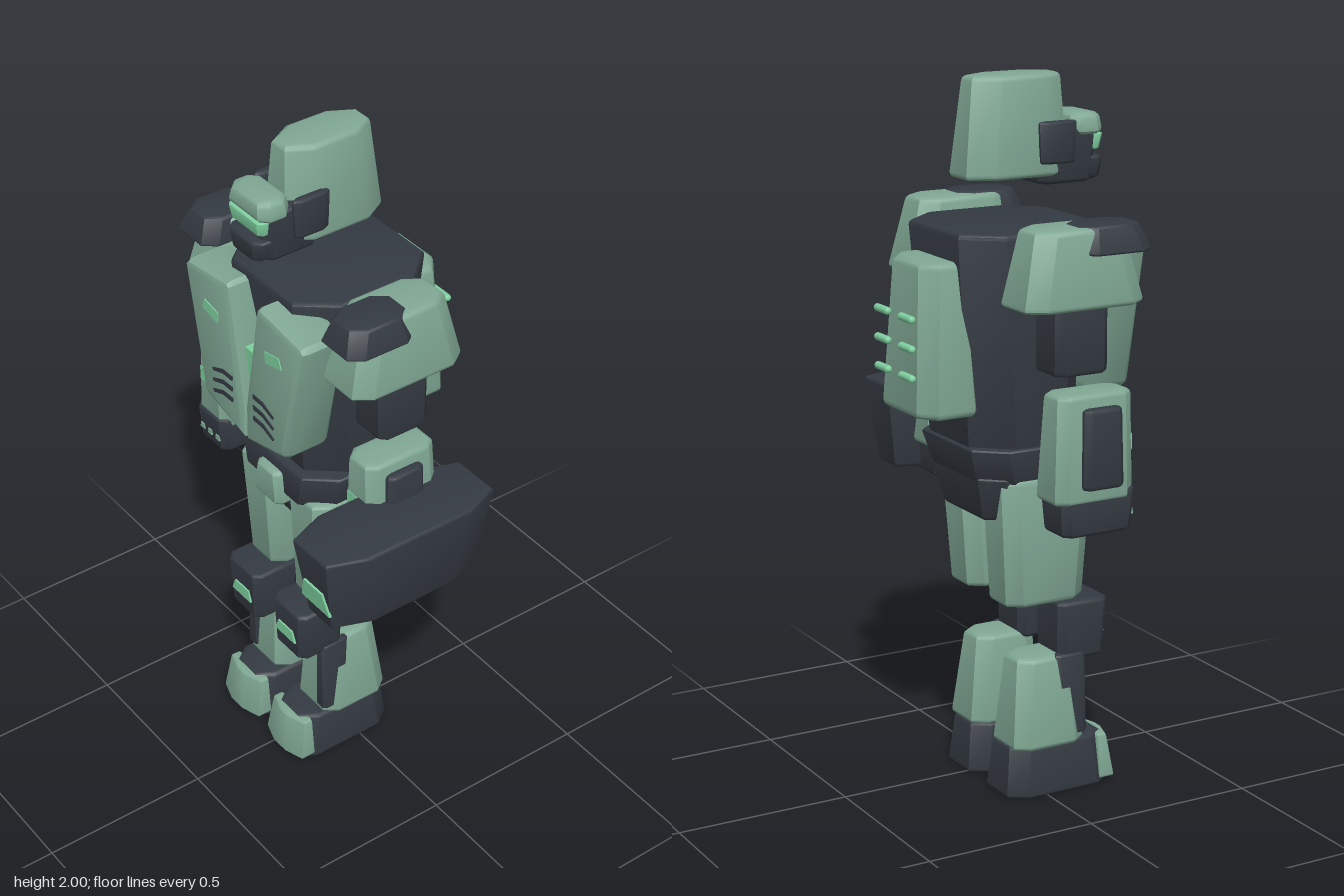
import * as THREE from 'three';
import { toCreasedNormals } from 'three/addons/utils/BufferGeometryUtils.js';

const material = (name, color) => {
  const m = new THREE.MeshStandardMaterial({ color });
  m.name = name;
  return m;
};

// Eight-sided ring of a rectangle [x0, x1, z0, z1] with cut corners
function ring([x0, x1, z0, z1], y, cx, cz, inset) {
  x0 += inset; x1 -= inset; z0 += inset; z1 -= inset;
  cx = Math.max(cx - inset * 0.4, 0.002);
  cz = Math.max(cz - inset * 0.4, 0.002);
  return [
    [x0 + cx, z1], [x1 - cx, z1], [x1, z1 - cz], [x1, z0 + cz],
    [x1 - cx, z0], [x0 + cx, z0], [x0, z0 + cz], [x0, z1 - cz],
  ].map(([x, z]) => [x, y, z]);
}

// Tapered block with cut corners and rounded top and bottom edges
function blockGeometry(y0, low, y1, high, cx, cz, bevel) {
  const rings = [];
  const steps = 3;
  const at = (y) => low.map((v, i) => v + (high[i] - v) * (y - y0) / (y1 - y0));
  for (const top of [false, true]) {
    for (let i = 0; i <= steps; i++) {
      const a = (top ? i : steps - i) / steps * Math.PI / 2;
      const rise = bevel * (1 - Math.sin(a));
      const y = top ? y1 - rise : y0 + rise;
      rings.push(ring(at(y), y, cx, cz, bevel * (1 - Math.cos(a))));
    }
  }
  const pos = [];
  const tri = (...p) => p.forEach((v) => pos.push(...v));
  const first = rings[0], last = rings[rings.length - 1];
  for (let i = 0; i < 8; i++) {
    const j = (i + 1) % 8;
    for (let k = 0; k < rings.length - 1; k++) {
      const a = rings[k], b = rings[k + 1];
      tri(a[i], a[j], b[j]);
      tri(a[i], b[j], b[i]);
    }
    if (i > 0 && i < 7) {
      tri(last[0], last[i], last[j]);
      tri(first[0], first[j], first[i]);
    }
  }
  const g = new THREE.BufferGeometry();
  g.setAttribute('position', new THREE.Float32BufferAttribute(pos, 3));
  return toCreasedNormals(g, 0.6);
}

export function createModel() {
  const green = material('sage armour', 0x80a894);
  const dark = material('charcoal', 0x343a42);
  const glow = material('bright green', 0x7fd0a0);

  const root = new THREE.Group();
  root.name = 'armouredRobot';
  const body = new THREE.Group();
  body.name = 'body';
  body.position.x = -0.07;
  root.add(body);

  const add = (name, geometry, mat) => {
    const mesh = new THREE.Mesh(geometry, mat);
    mesh.name = name;
    body.add(mesh);
    return mesh;
  };
  const block = (name, mat, y0, low, y1, high, cx = 0.02, cz = cx, bevel = 0.012) =>
    add(name, blockGeometry(y0, low, y1, high, cx, cz, bevel), mat);
  const flip = ([x0, x1, z0, z1]) => [-x1, -x0, z0, z1];
  const pair = (name, mat, y0, low, y1, high, ...rest) => {
    block(name + 'Left', mat, y0, low, y1, high, ...rest);
    block(name + 'Right', mat, y0, flip(low), y1, flip(high), ...rest);
  };
  // Flat outline facing the front
  const plate = (name, mat, points, z, depth = 0.008, bevel = 0) => {
    const shape = new THREE.Shape(points.map(([x, y]) => new THREE.Vector2(x, y)));
    const g = new THREE.ExtrudeGeometry(shape, {
      depth: depth - 2 * bevel, bevelEnabled: bevel > 0, bevelThickness: bevel,
      bevelSize: bevel, bevelOffset: -bevel, bevelSegments: 2,
    });
    g.translate(0, 0, z + bevel);
    return add(name, toCreasedNormals(g, 0.6), mat);
  };
  const platePair = (name, mat, points, ...rest) => {
    plate(name + 'Left', mat, points, ...rest);
    plate(name + 'Right', mat, points.map(([x, y]) => [-x, y]), ...rest);
  };

  // Head
  block('helmet', green, 1.725, [-0.087, 0.087, -0.172, 0.145], 2.0, [-0.068, 0.068, -0.142, 0.128], 0.04, 0.07, 0.015);
  block('face', dark, 1.70, [-0.068, 0.068, 0.05, 0.215], 1.85, [-0.08, 0.08, 0.04, 0.225], 0.02);
  block('chin', dark, 1.705, [-0.06, 0.06, 0.15, 0.245], 1.77, [-0.074, 0.074, 0.15, 0.25], 0.02);
  block('brow', green, 1.83, [-0.092, 0.092, 0.14, 0.242], 1.89, [-0.08, 0.08, 0.145, 0.235], 0.025, 0.025, 0.018);
  block('visor', glow, 1.787, [-0.068, 0.068, 0.2, 0.236], 1.832, [-0.075, 0.075, 0.2, 0.243], 0.012, 0.012, 0.005);
  pair('earGuard', dark, 1.76, [0.072, 0.1, 0.035, 0.14], 1.875, [0.072, 0.1, 0.03, 0.145], 0.01, 0.02, 0.008);

  // Torso and hips
  block('torso', dark, 1.0, [-0.195, 0.195, -0.2, 0.135], 1.605, [-0.225, 0.225, -0.248, 0.19], 0.085, 0.1, 0.015);
  block('belt', dark, 0.905, [-0.19, 0.19, -0.18, 0.165], 1.015, [-0.212, 0.212, -0.212, 0.165], 0.07, 0.08);
  block('pelvis', dark, 0.8, [-0.155, 0.155, -0.155, 0.06], 0.93, [-0.185, 0.185, -0.187, 0.08], 0.05, 0.06);
  block('crotch', dark, 0.8, [-0.042, 0.042, 0, 0.12], 0.92, [-0.05, 0.05, 0, 0.15], 0.015);
  block('crotchPlate', green, 0.872, [-0.062, 0.062, 0.1, 0.19], 0.98, [-0.05, 0.05, 0.1, 0.19], 0.015);

  // Chest panels with lights and vents
  platePair('chestPanel', green, [[0.275, 1.54], [0.262, 1.555], [0.075, 1.58], [0.062, 1.57],
    [0.001, 1.22], [0.001, 1.105], [0.185, 1.15], [0.198, 1.165]], 0.11, 0.145, 0.022);
  plate('chestCore', glow, [[-0.036, 1.388], [0.036, 1.388], [0.01, 1.2], [-0.01, 1.2]], 0.1, 0.125);
  platePair('chestLight', glow, [[0.108, 1.465], [0.172, 1.478], [0.185, 1.447], [0.112, 1.43]], 0.25);
  for (let i = 0; i < 3; i++) {
    const y = 1.29 - i * 0.036;
    platePair('chestVent' + i, dark, [[0.048, y], [0.095, y - 0.001], [0.145, y - 0.022],
      [0.14, y - 0.03], [0.092, y - 0.014], [0.05, y - 0.014]], 0.25);
  }

  // Backpack with lit bars
  block('backpack', green, 1.105, [-0.148, 0.148, -0.353, -0.16], 1.525, [-0.122, 0.122, -0.33, -0.18], 0.05, 0.04, 0.02);
  for (const side of [-1, 1]) {
    for (const y of [1.38, 1.3, 1.22]) {
      const bar = add('backpackBar', new THREE.CapsuleGeometry(0.011, 0.058, 4, 10), glow);
      bar.rotation.z = Math.PI / 2;
      bar.position.set(side * 0.069, y, -0.365);
    }
  }

  // Arms
  pair('shoulder', green, 1.425, [0.222, 0.418, -0.187, 0.177], 1.635, [0.24, 0.39, -0.14, 0.125], 0.035, 0.05, 0.015);
  pair('shoulderCap', dark, 1.565, [0.245, 0.418, -0.022, 0.197], 1.64, [0.265, 0.392, -0.01, 0.168], 0.03, 0.04, 0.008);
  pair('upperArm', dark, 1.245, [0.248, 0.385, -0.085, 0.075], 1.44, [0.248, 0.385, -0.085, 0.075], 0.02);
  pair('forearm', green, 0.905, [0.282, 0.427, -0.105, 0.135], 1.2, [0.296, 0.413, -0.09, 0.135], 0.025, 0.03, 0.015);
  pair('forearmPlate', dark, 0.945, [0.4, 0.446, -0.035, 0.09], 1.165, [0.4, 0.442, -0.03, 0.085], 0.015);
  platePair('forearmLight', glow, [[0.313, 1.03], [0.396, 1.03], [0.396, 1.076], [0.313, 1.076]], 0.129);
  pair('hand', dark, 0.815, [0.29, 0.42, -0.08, 0.13], 0.935, [0.285, 0.425, -0.09, 0.142], 0.02);
  for (const x of [0.317, 0.355, 0.393]) {
    platePair('knuckle', green, [[x - 0.01, 0.855], [x + 0.01, 0.855], [x + 0.008, 0.872], [x - 0.008, 0.872]], 0.131);
  }

  // Arm cannon
  block('cannon', dark, 0.825, [0.38, 0.56, -0.15, 0.34], 1.08, [0.354, 0.585, -0.185, 0.377], 0.042, 0.11);
  const muzzle = plate('cannonLight', glow, [[0.405, -0.036], [0.53, -0.036], [0.508, 0.036], [0.427, 0.036]], -0.003);
  muzzle.position.set(0, 0.92, 0.355);
  muzzle.rotation.x = 0.144;

  // Legs
  pair('thigh', green, 0.555, [0.035, 0.183, -0.11, 0.132], 0.925, [0.035, 0.2, -0.135, 0.152], 0.03, 0.04, 0.015);
  pair('knee', dark, 0.38, [0.04, 0.182, 0.05, 0.198], 0.55, [0.035, 0.19, 0.045, 0.205], 0.02);
  platePair('kneeLight', glow, [[0.065, 0.44], [0.157, 0.44], [0.143, 0.477], [0.076, 0.477]], 0.199);
  pair('shin', green, 0.14, [0.035, 0.21, -0.1, 0.125], 0.4, [0.05, 0.18, -0.072, 0.11], 0.03, 0.04, 0.015);
  pair('shinPlate', dark, 0.165, [0.15, 0.197, 0.04, 0.13], 0.4, [0.15, 0.187, 0.035, 0.128], 0.008, 0.012, 0.006);
  pair('foot', dark, 0, [0.018, 0.205, -0.115, 0.215], 0.15, [0.03, 0.192, -0.1, 0.195], 0.035, 0.05, 0.012);
  pair('toeCap', green, 0.015, [0.022, 0.202, 0.15, 0.236], 0.145, [0.035, 0.188, 0.15, 0.216], 0.06, 0.02, 0.008);

  return root;
}
